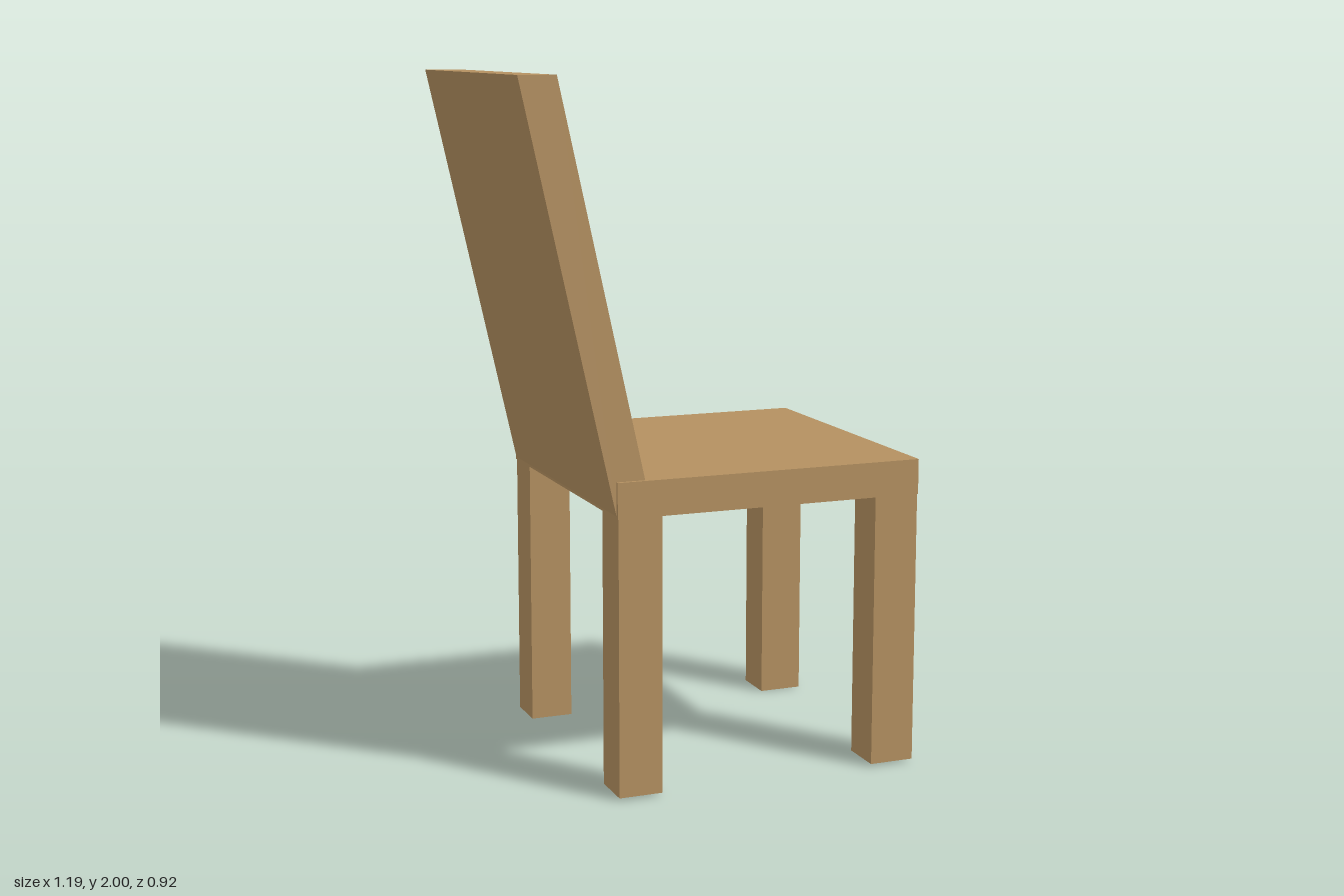
import * as THREE from 'three';

export function createModel() {
  const chair = new THREE.Group();
  chair.name = 'chair';
  const wood = new THREE.MeshStandardMaterial({ color: 0xb49060 });
  wood.name = 'wood';

  // Box given by its lower and upper limits on each axis
  const addBox = (name, [x0, x1], [y0, y1], [z0, z1]) => {
    const mesh = new THREE.Mesh(new THREE.BoxGeometry(x1 - x0, y1 - y0, z1 - z0), wood);
    mesh.position.set((x0 + x1) / 2, (y0 + y1) / 2, (z0 + z1) / 2);
    mesh.name = name;
    chair.add(mesh);
  };

  // Seat slab
  addBox('seat', [-0.327, 0.592], [0.803, 0.905], [-0.46, 0.458]);

  // Four square legs; the +z pair is a touch shorter
  const sides = [['Left', [0.328, 0.458], 0.008], ['Right', [-0.456, -0.328], 0]];
  for (const [side, z, foot] of sides) {
    addBox(`backLeg${side}`, [-0.325, -0.197], [foot, 0.803], z);
    addBox(`frontLeg${side}`, [0.456, 0.589], [foot, 0.803], z);
  }

  // Leaning backrest: slanted side profile extruded across the seat
  const profile = new THREE.Shape([
    [-0.327, 0.81], [-0.222, 0.81], [-0.487, 2], [-0.595, 2],
  ].map(([x, y]) => new THREE.Vector2(x, y)));
  const geometry = new THREE.ExtrudeGeometry(profile, { depth: 0.903, bevelEnabled: false });
  const backrest = new THREE.Mesh(geometry, wood);
  backrest.position.z = -0.455;
  backrest.name = 'backrest';
  chair.add(backrest);

  return chair;
}
